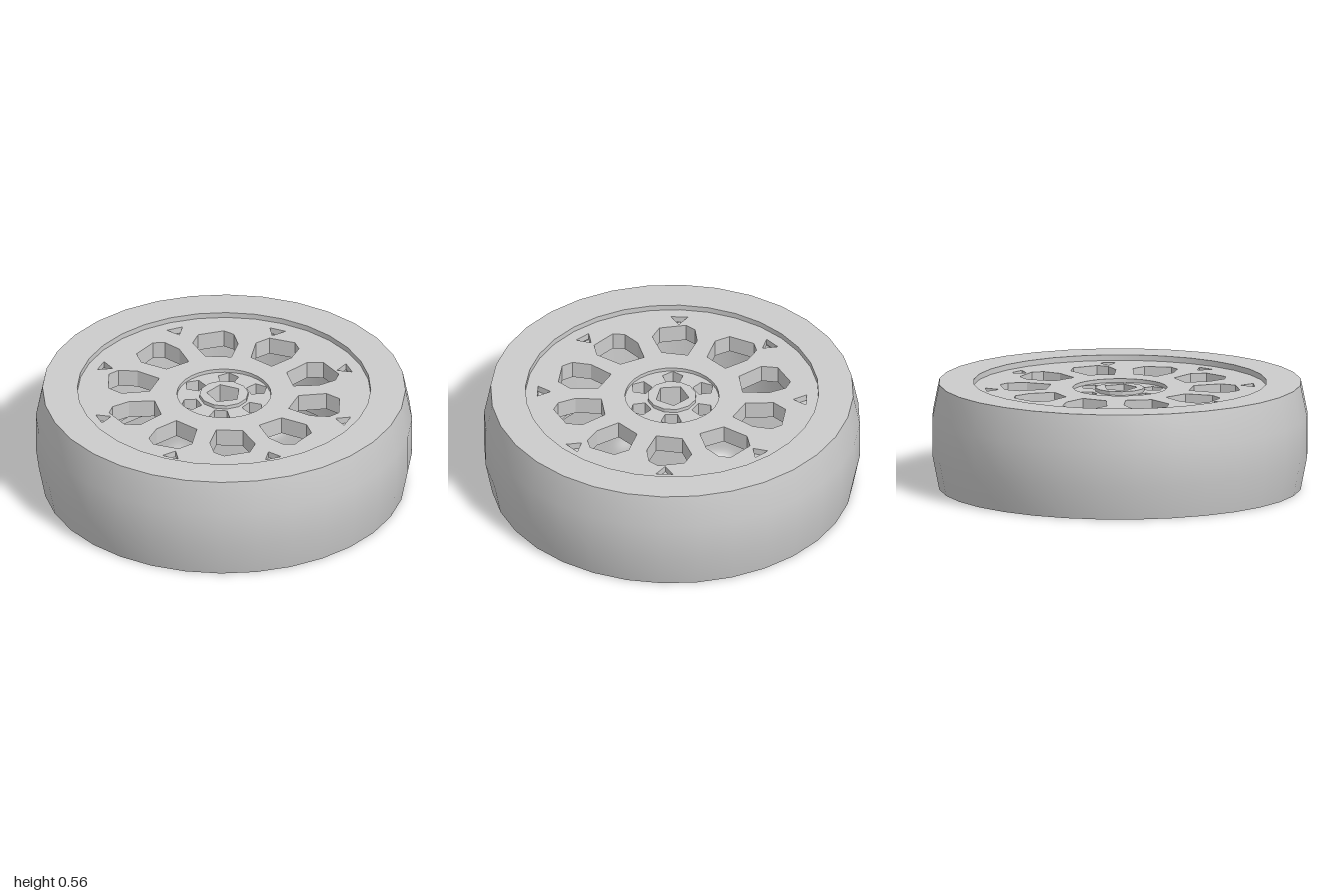
import * as THREE from 'three';
import { toCreasedNormals } from 'three/addons/utils/BufferGeometryUtils.js';

const SIDES = 32;

// Points of a regular polygon, centred at polar position (dist, angle)
function ring(radius, sides = SIDES, dist = 0, angle = 0, turn = 0) {
  return Array.from({ length: sides }, (_, i) => {
    const a = turn + (i / sides) * Math.PI * 2;
    return new THREE.Vector2(
      dist * Math.cos(angle) + radius * Math.cos(a),
      dist * Math.sin(angle) + radius * Math.sin(a));
  });
}

// Rotate a (radial, tangential) outline to an angle
function spoked(points, angle) {
  return points.map(([r, t]) => new THREE.Vector2(r, t).rotateAround(new THREE.Vector2(), angle));
}

// Evenly spaced copies of an outline around the axle
function around(count, startDeg, make) {
  return Array.from({ length: count }, (_, i) =>
    make(THREE.MathUtils.degToRad(startDeg) + (i / count) * Math.PI * 2, i));
}

export function createModel() {
  const group = new THREE.Group();
  const grey = new THREE.MeshStandardMaterial({ color: 0xcccccc });
  grey.name = 'light grey';

  function add(name, geometry) {
    const mesh = new THREE.Mesh(toCreasedNormals(geometry, 0.4), grey);
    mesh.name = name;
    group.add(mesh);
  }

  // Horizontal plate with holes between two heights
  function plate(name, outline, holes, y0, y1) {
    const shape = new THREE.Shape(outline);
    shape.holes = holes.map((h) => new THREE.Path(h));
    const geo = new THREE.ExtrudeGeometry(shape, { depth: y1 - y0, bevelEnabled: false });
    geo.rotateX(-Math.PI / 2);
    geo.translate(0, y0, 0);
    add(name, geo);
  }

  // Tyre with bulged tread, flat sidewalls and a stepped inner barrel
  const profile = [
    [0.965, 0], [1, 0.18], [1, 0.39], [0.965, 0.565], [0.78, 0.565],
    [0.78, 0.49], [0.71, 0.49], [0.71, 0.09], [0.78, 0.09], [0.78, 0], [0.965, 0],
  ].map(([r, y]) => new THREE.Vector2(r, y));
  add('tyreAndBarrel', new THREE.LatheGeometry(profile, SIDES));

  // Ten rounded windows between the spokes
  const windowOutline = [
    [0.37, -0.07], [0.39, 0.07], [0.53, 0.125], [0.61, 0.09],
    [0.64, -0.05], [0.6, -0.1], [0.5, -0.115],
  ];
  const windows = around(10, 10, (a) => spoked(windowOutline, a));

  // Eight small triangular pits near the rim
  const pits = around(8, 0, (a) => spoked([[0.645, 0], [0.715, 0.045], [0.715, -0.045]], a));

  plate('wheelFace', ring(0.78), [ring(0.25), ...windows, ...pits], 0.5, 0.535);
  plate('wheelFaceBacking', ring(0.715), [ring(0.25), ...windows], 0.44, 0.5);

  // Hub with bolt holes and a five-sided axle hole
  const bolts = around(6, 47, (a) => ring(0.057, 5, 0.19, a, a));
  const axle = ring(0.092, 5, 0, 0, Math.PI / 2 + Math.PI / 5);
  plate('hubFlange', ring(0.3), [axle, ...bolts], 0.4, 0.44);
  plate('hubCore', ring(0.25), [axle, ...bolts], 0.44, 0.515);
  plate('hubCap', ring(0.13, 12), [axle], 0.515, 0.535);

  return group;
}
